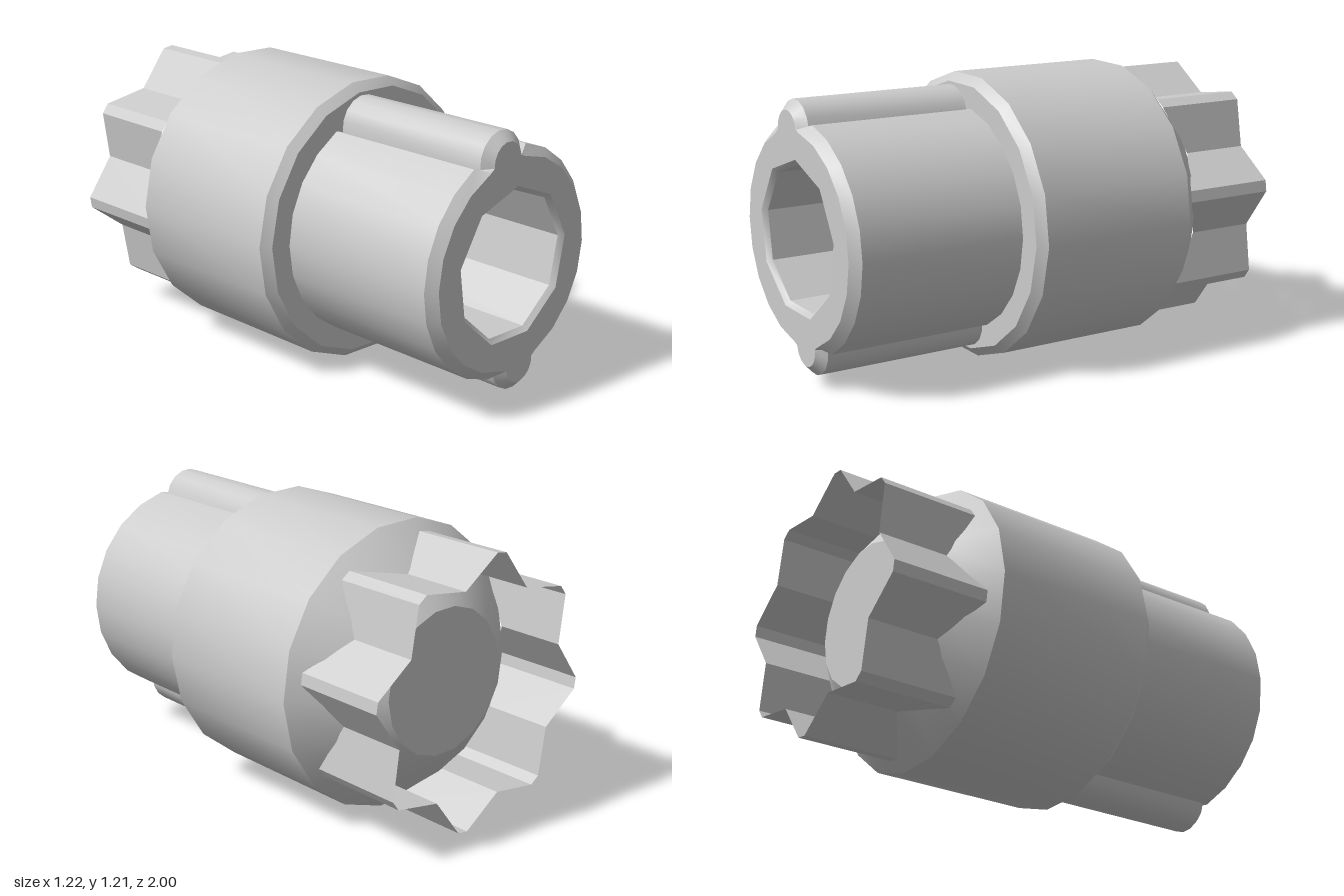
import * as THREE from 'three';
import { toCreasedNormals } from 'three/addons/utils/BufferGeometryUtils.js';

const DEG = Math.PI / 180;
const polar = (r, deg, z) => new THREE.Vector3(r * Math.cos(deg * DEG), r * Math.sin(deg * DEG), z);

// Regular ring of n corners, counter-clockwise seen from the front
const ring = (r, z, n, offset) =>
  Array.from({ length: n }, (_, i) => polar(r, offset + (i * 360) / n, z));

// Skin closed loops; front-to-back order faces outwards, back-to-front inwards
function loft(loops) {
  const pos = [];
  const put = (...pts) => pts.forEach((p) => pos.push(p.x, p.y, p.z));
  for (let k = 0; k < loops.length - 1; k++) {
    const a = loops[k], b = loops[k + 1], n = a.length;
    for (let i = 0; i < n; i++) {
      const j = (i + 1) % n;
      put(a[i], b[i], a[j], a[j], b[i], b[j]);
    }
  }
  const geo = new THREE.BufferGeometry();
  geo.setAttribute('position', new THREE.Float32BufferAttribute(pos, 3));
  return toCreasedNormals(geo, 32 * DEG);
}

// Round shaft section with two opposite half-round keys
function keyedLoop(r, keyRadius, z) {
  const pts = [];
  for (const angle of [97.5, 277.5]) {
    const centre = polar(0.44, angle, z);
    for (let i = 0; i <= 8; i++) {
      pts.push(polar(keyRadius, angle - 90 + i * 22.5, 0).add(centre));
    }
    const half = (keyRadius / 0.44) / DEG + 3;
    const span = 180 - 2 * half;
    for (let i = 0; i <= 9; i++) pts.push(polar(r, angle + half + (span * i) / 9, z));
  }
  return pts;
}

// Eight pointed teeth; the front ends follow the cone of the body
function starLoop(tipZ, valleyZ) {
  const pts = [];
  for (let i = 0; i < 8; i++) {
    const a = 8.6 + i * 45;
    pts.push(polar(0.566, a - 2.5, tipZ), polar(0.566, a + 2.5, tipZ), polar(0.455, a + 22.5, valleyZ));
  }
  return pts;
}

export function createModel() {
  const model = new THREE.Group();
  const drive = new THREE.Group();
  drive.name = 'pinionDrive';
  drive.position.y = 0.606;
  model.add(drive);

  const solid = new THREE.MeshStandardMaterial({ color: 0xcccccc });
  const thin = new THREE.MeshStandardMaterial({ color: 0xcccccc, side: THREE.DoubleSide });
  const add = (name, geometry, material = solid) => {
    const mesh = new THREE.Mesh(geometry, material);
    mesh.name = name;
    drive.add(mesh);
  };

  // Body: chamfered drum with a tapered, flat-ended back
  const body = [
    [0.4, 0.232], [0.575, 0.232], [0.612, 0.197], [0.612, -0.53],
    [0.455, -0.69], [0.31, -0.8], [0, -0.8],
  ];
  add('body', loft(body.map(([r, z]) => ring(r, z, 18, -1.8))));

  // Shaft with two keys and a chamfered front edge
  const frontEdge = keyedLoop(0.44, 0.08, 1);
  add('shaft', loft([frontEdge, keyedLoop(0.48, 0.12, 0.962), keyedLoop(0.48, 0.12, 0.2)]));

  // Front face around the bore opening
  const face = new THREE.Shape(frontEdge.map((p) => new THREE.Vector2(p.x, p.y)));
  const opening = ring(0.325, 1, 9, 8.4);
  face.holes.push(new THREE.Path(opening.map((p) => new THREE.Vector2(p.x, p.y))));
  add('shaftFace', new THREE.ShapeGeometry(face).translate(0, 0, 1));

  // Nine-sided blind bore
  add('bore', loft([
    ring(0, -0.75, 9, 8.4), ring(0.305, -0.75, 9, 8.4), ring(0.305, 0.98, 9, 8.4), opening,
  ]));

  // Open ring of teeth at the back
  add('toothRing', loft([starLoop(-0.577, -0.69), starLoop(-1, -1)]), thin);

  return model;
}
